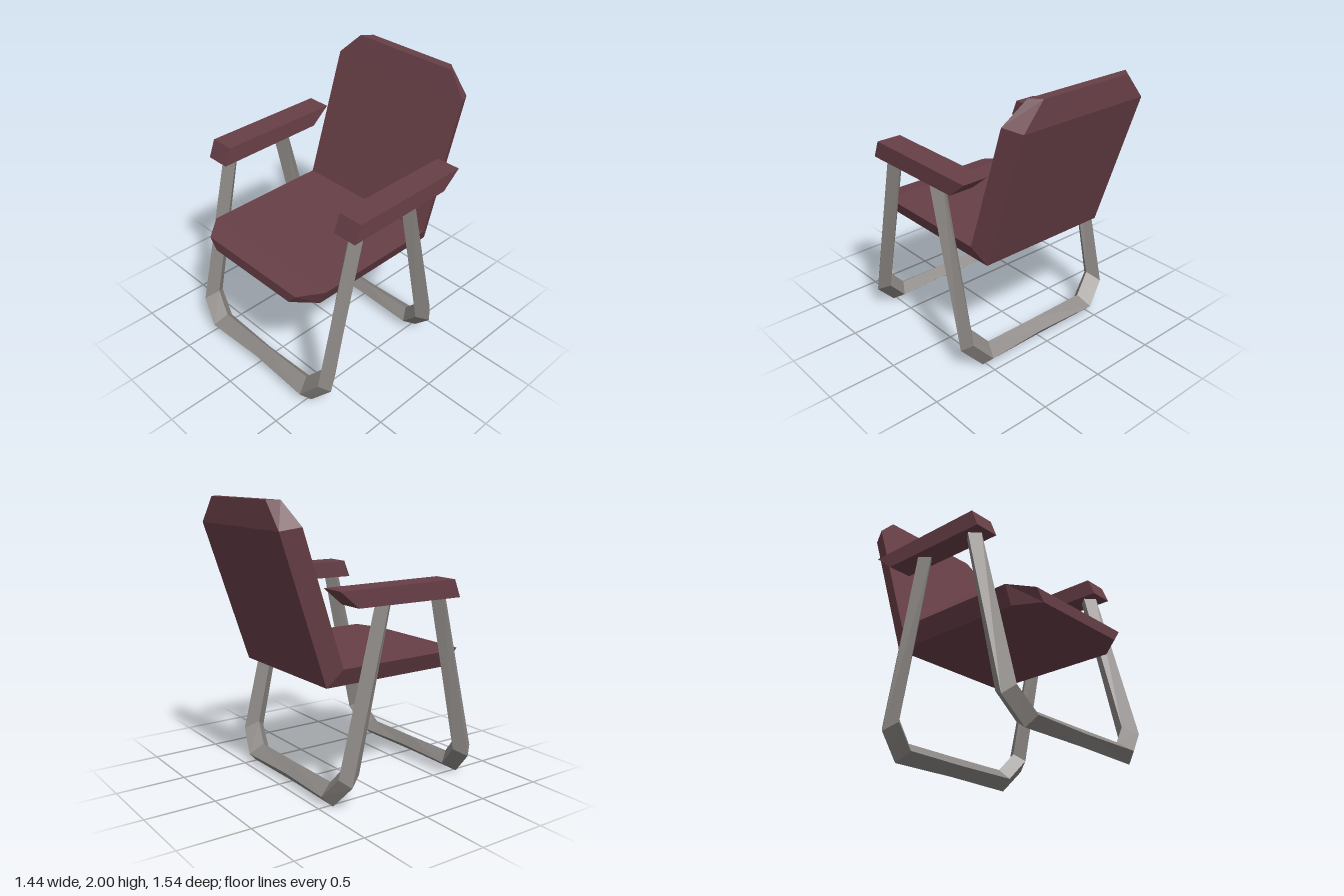
import * as THREE from 'three';

const fabric = new THREE.MeshStandardMaterial({ color: 0x683f47, flatShading: true });
const metal = new THREE.MeshStandardMaterial({ color: 0x8a8683, flatShading: true });

// Closed solid through four-cornered rings (counter-clockwise about the direction of travel)
function loft(name, rings, material) {
  const pos = [];
  const quad = (a, b, c, d) => pos.push(...a, ...b, ...c, ...a, ...c, ...d);
  for (let i = 0; i < rings.length - 1; i++) {
    for (let j = 0; j < 4; j++) {
      const k = (j + 1) % 4;
      quad(rings[i][j], rings[i][k], rings[i + 1][k], rings[i + 1][j]);
    }
  }
  quad(...[...rings[0]].reverse());
  quad(...rings[rings.length - 1]);
  const geometry = new THREE.BufferGeometry();
  geometry.setAttribute('position', new THREE.Float32BufferAttribute(pos, 3));
  geometry.computeVertexNormals();
  const mesh = new THREE.Mesh(geometry, material);
  mesh.name = name;
  return mesh;
}

// Seat and backrest: one bent cushion, sitting side wider than the rear side
// Each row: sitting side [half width, y, z], rear side [half width, y, z]
function cushion() {
  const rows = [
    [[0.445, 0.91, 0.745], [0.38, 0.83, 0.745]],
    [[0.57, 0.935, 0.595], [0.51, 0.81, 0.59]],
    [[0.57, 0.935, -0.35], [0.51, 0.81, -0.44]],
    [[0.573, 1.845, -0.65], [0.51, 1.82, -0.775]],
    [[0.42, 2, -0.705], [0.36, 2, -0.775]],
  ];
  const rings = rows.map(([[w, y, z], [v, s, t]]) => [[-w, y, z], [w, y, z], [v, s, t], [-v, s, t]]);
  return loft('seatAndBackrest', rings, fabric);
}

// Armrest: slanted at both ends
function armrest(name, side) {
  const x0 = side * 0.63 - 0.09, x1 = side * 0.63 + 0.09;
  const ring = (top, zTop, bottom, zBottom) =>
    [[x0, top, zTop], [x1, top, zTop], [x1, bottom, zBottom], [x0, bottom, zBottom]];
  return loft(name, [ring(1.465, 0.447, 1.34, 0.497), ring(1.465, -0.48, 1.348, -0.34)], fabric);
}

// Leg frame: leaning U of diamond-section bar
function legFrame(name) {
  // Outer x, y, inner x, y, half depth, from the top of a leg to the middle of the foot bar
  const half = [
    [0.69, 1.342, 0.567, 1.342, 0.065],
    [0.683, 0.17, 0.57, 0.28, 0.082],
    [0.525, 0, 0.445, 0.14, 0.085],
  ];
  const mirrored = half.map(([ox, oy, ix, iy, d]) => [-ox, oy, -ix, iy, d]).reverse();
  const lean = (y) => 0.7 - 0.235 * y;
  const rings = [...half, [0, 0.006, 0, 0.138, 0.067], ...mirrored].map(([ox, oy, ix, iy, d]) => {
    const x = (ox + ix) / 2, y = (oy + iy) / 2;
    return [[ox, oy, lean(oy)], [x, y, lean(y) + d], [ix, iy, lean(iy)], [x, y, lean(y) - d]];
  });
  return loft(name, rings, metal);
}

export function createModel() {
  const chair = new THREE.Group();
  chair.name = 'foldingChair';
  const rearFrame = legFrame('rearLegFrame');
  rearFrame.rotation.y = Math.PI;
  rearFrame.position.z = 0.3;
  chair.add(cushion(), armrest('leftArmrest', 1), armrest('rightArmrest', -1), legFrame('frontLegFrame'), rearFrame);
  return chair;
}
